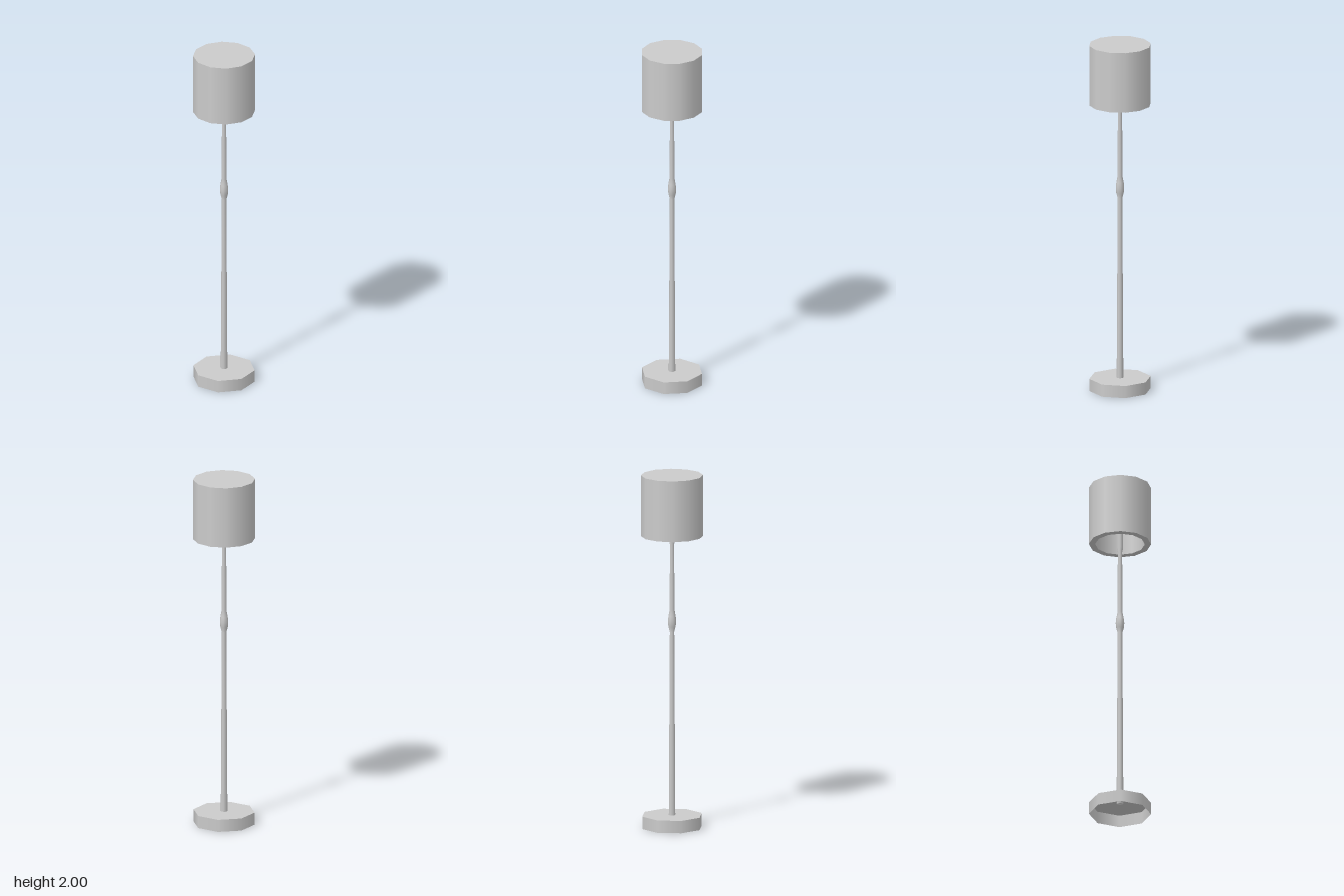
import * as THREE from 'three';

const grey = (options = {}) => new THREE.MeshStandardMaterial({ color: 0xcccccc, ...options });

function addMesh(group, name, geometry, material, y = 0) {
  const mesh = new THREE.Mesh(geometry, material);
  mesh.name = name;
  mesh.position.y = y;
  group.add(mesh);
  return mesh;
}

// Horizontal disc or ring facing up or down, with corners on the x and z axes
function flatRing(inner, outer, sides, up) {
  const geometry = inner > 0
    ? new THREE.RingGeometry(inner, outer, sides)
    : new THREE.CircleGeometry(outer, sides);
  return geometry.rotateX(up ? -Math.PI / 2 : Math.PI / 2);
}

function createBase() {
  const base = new THREE.Group();
  base.name = 'base';
  const radius = 0.173, height = 0.07, sides = 8;
  const thin = grey({ side: THREE.DoubleSide });
  // Thin octagonal shell, open underneath
  addMesh(base, 'baseWall', new THREE.CylinderGeometry(radius, radius, height, sides, 1, true), thin, height / 2);
  addMesh(base, 'baseTop', flatRing(0, radius, sides, true), thin, height);
  return base;
}

function createPole() {
  // Tapered pole with a turned knot and a flared collar under the shade
  const profile = [
    [0, 0.065], [0.019, 0.065], [0.013, 1.11],
    [0.021, 1.14], [0.024, 1.17], [0.021, 1.2], [0.0145, 1.235],
    [0.012, 1.605], [0.018, 1.63], [0.018, 1.95],
  ].map(([r, y]) => new THREE.Vector2(r, y));
  const pole = new THREE.Mesh(new THREE.LatheGeometry(profile, 8), grey());
  pole.name = 'pole';
  return pole;
}

function createShade() {
  const shade = new THREE.Group();
  shade.name = 'shade';
  const outer = 0.173, inner = 0.138, bottom = 1.655, top = 2, ceiling = 1.95, sides = 12;
  const drum = (r, y0, y1) => new THREE.CylinderGeometry(r, r, y1 - y0, sides, 1, true);
  addMesh(shade, 'shadeWall', drum(outer, bottom, top), grey(), (bottom + top) / 2);
  addMesh(shade, 'shadeTop', flatRing(0, outer, sides, true), grey(), top);
  addMesh(shade, 'shadeRim', flatRing(inner, outer, sides, false), grey(), bottom);
  // Hollow interior
  addMesh(shade, 'shadeLining', drum(inner, bottom, ceiling), grey({ side: THREE.BackSide }), (bottom + ceiling) / 2);
  addMesh(shade, 'shadeCeiling', flatRing(0, inner, sides, false), grey(), ceiling);
  return shade;
}

export function createModel() {
  const lamp = new THREE.Group();
  lamp.name = 'floorLamp';
  lamp.add(createBase(), createPole(), createShade());
  return lamp;
}
